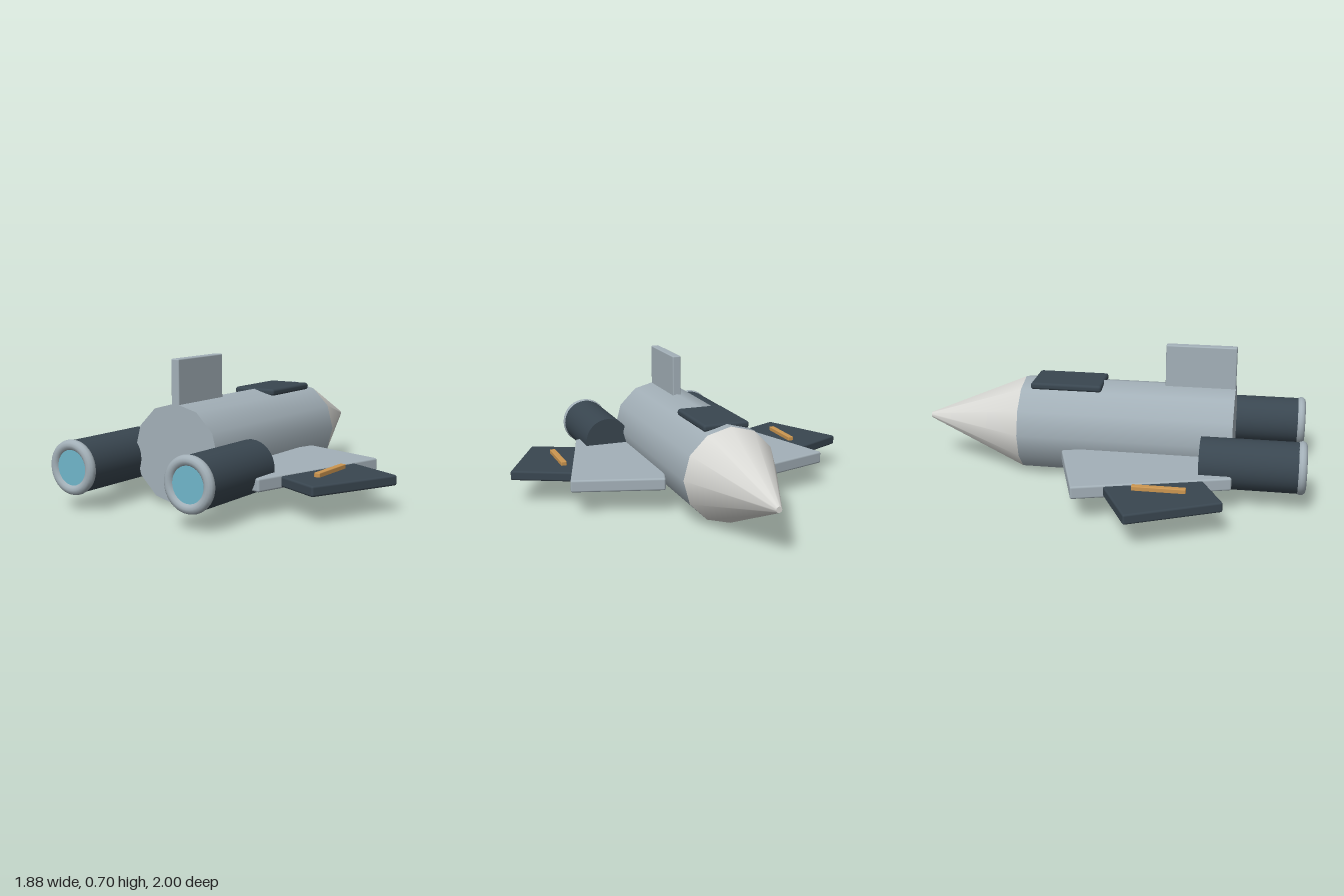
import * as THREE from 'three';
import { RoundedBoxGeometry } from 'three/addons/geometries/RoundedBoxGeometry.js';

const paint = (name, color) => {
  const m = new THREE.MeshStandardMaterial({ color });
  m.name = name;
  return m;
};

export function createModel() {
  const hull = paint('hullGrey', 0xa3b0b8);
  const noseWhite = paint('noseWhite', 0xd8d8d4);
  const dark = paint('darkSlate', 0x394650);
  const orange = paint('stripeOrange', 0xcc9650);
  const glow = paint('engineBlue', 0x70b6ca);
  const model = new THREE.Group();
  model.name = 'spaceship';

  const add = (name, geometry, material, x, y, z, turn = 0) => {
    const mesh = new THREE.Mesh(geometry, material);
    mesh.name = name;
    mesh.position.set(x, y, z);
    mesh.rotation.y = turn;
    model.add(mesh);
    return mesh;
  };
  // Cylinder along z: rear radius, front radius, length, sides
  const tube = (rear, front, length, sides) =>
    new THREE.CylinderGeometry(rear, front, length, sides).rotateX(Math.PI / 2);
  const slab = (w, h, d, r = 0.01) => new RoundedBoxGeometry(w, h, d, 2, r);

  // Twelve-sided fuselage and nose cone pointing to -z
  add('fuselage', tube(0.245, 0.245, 1.1, 12), hull, 0, 0.25, 0.083);
  add('noseCone', tube(0.245, 0.015, 0.533, 12), noseWhite, 0, 0.25, -0.7335);

  // Canopy and tail fin
  add('canopy', slab(0.24, 0.036, 0.37, 0.014), dark, 0, 0.481, -0.232);
  add('tailFin', slab(0.045, 0.3, 0.36, 0.006), hull, 0, 0.555, 0.453);

  for (const s of [1, -1]) {
    const side = s > 0 ? 'left' : 'right';
    // Swept wing, dark outer panel and its stripe
    add(side + 'Wing', slab(0.475, 0.064, 0.775), hull, s * 0.3625, 0.16, 0.21, -s * 0.297);
    add(side + 'WingPanel', slab(0.4, 0.05, 0.475), dark, s * 0.662, 0.16, 0.324, -s * 0.45);
    add(side + 'WingStripe', slab(0.03, 0.024, 0.255, 0.004), orange, s * 0.662, 0.194, 0.32);

    // Engine with rounded nozzle ring and glowing disc
    add(side + 'Engine', tube(0.125, 0.125, 0.485, 32), dark, s * 0.335, 0.21, 0.7275);
    add(side + 'NozzleRing', new THREE.TorusGeometry(0.106, 0.025, 12, 40), hull, s * 0.335, 0.21, 0.975);
    add(side + 'EngineGlow', tube(0.088, 0.088, 0.03, 32), glow, s * 0.335, 0.21, 0.971);
  }
  return model;
}
